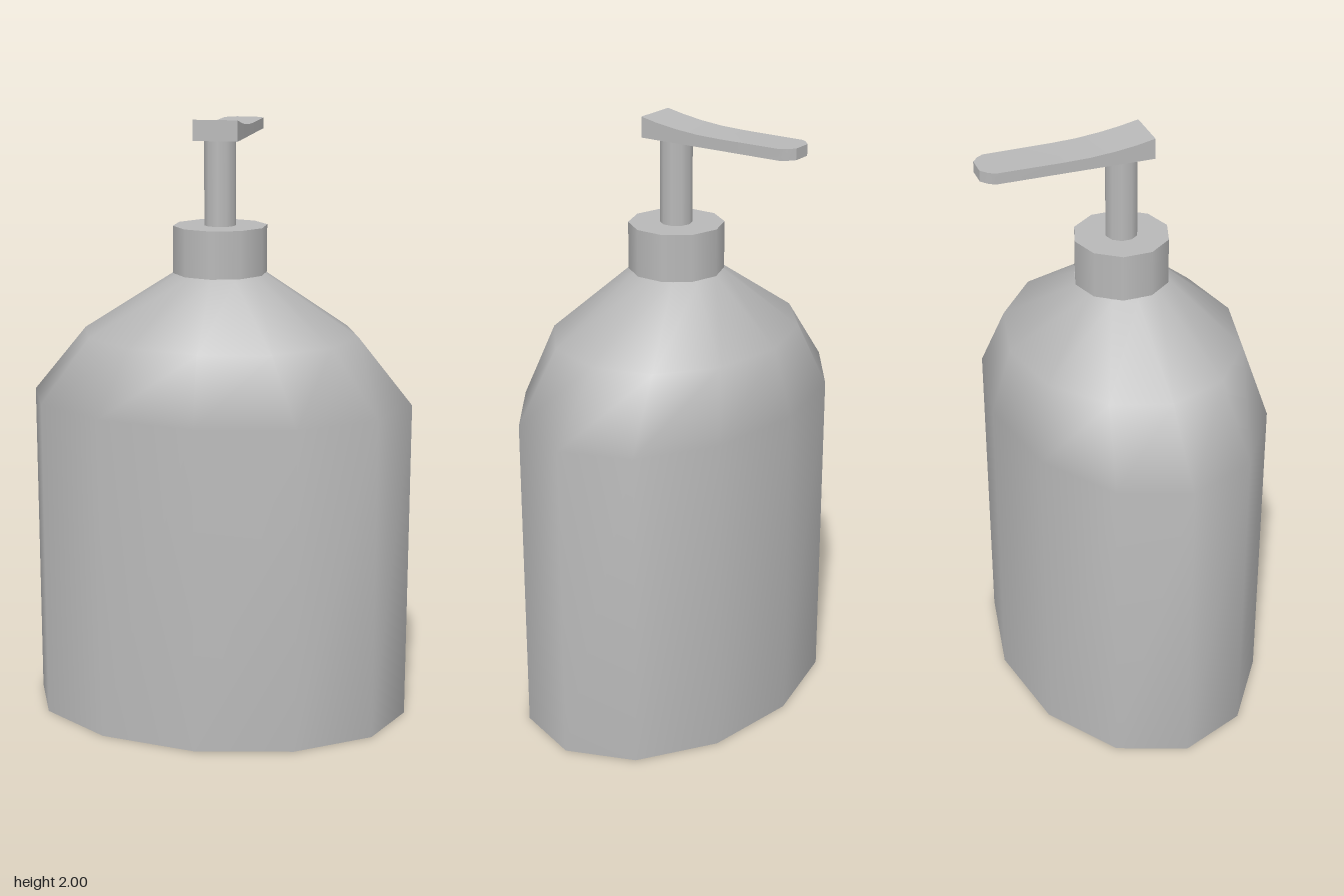
import * as THREE from 'three';
import { mergeVertices } from 'three/addons/utils/BufferGeometryUtils.js';

const CENTRE_Z = 0.007;

export function createModel() {
  const model = new THREE.Group();
  model.name = 'pumpBottle';
  const grey = new THREE.MeshStandardMaterial({ color: 0xb8b8b8 });
  grey.name = 'plain grey';

  const add = (name, geometry, y = 0, z = CENTRE_Z) => {
    const mesh = new THREE.Mesh(geometry, grey);
    mesh.name = name;
    mesh.position.set(0, y, z);
    model.add(mesh);
    return mesh;
  };

  // Bottle wall: oval rings from mouth to base, [y, half width, half depth]
  const rings = [
    [1.5, 0.15, 0.154],
    [1.3, 0.46, 0.38],
    [1.08, 0.64, 0.446],
    [0, 0.64, 0.446],
  ];
  let wall = new THREE.CylinderGeometry(1, 1, rings.length - 1, 12, rings.length - 1, true);
  const wp = wall.attributes.position;
  for (let i = 0; i < wp.count; i++) {
    const [y, rx, rz] = rings[Math.round((rings.length - 1) / 2 - wp.getY(i))];
    wp.setXYZ(i, wp.getX(i) * rx, y, wp.getZ(i) * rz);
  }
  // Join the seam so the wall shades smoothly all round
  wall.deleteAttribute('uv');
  wall.deleteAttribute('normal');
  wall = mergeVertices(wall);
  wall.computeVertexNormals();
  add('bottleWall', wall);

  // Flat ends of the bottle
  const base = new THREE.CircleGeometry(1, 12).rotateX(Math.PI / 2).scale(0.64, 1, 0.446);
  add('bottleBase', base);
  const mouth = new THREE.CircleGeometry(1, 12).rotateX(-Math.PI / 2).scale(0.15, 1, 0.154);
  add('bottleMouth', mouth, 1.5);

  // Collar and pump stem
  add('collar', new THREE.CylinderGeometry(0.155, 0.155, 0.155, 10), 1.5775);
  add('pumpStem', new THREE.CylinderGeometry(0.052, 0.052, 0.29, 10), 1.795);

  // Pump head: a bar with a dished top and rounded tip, [z, half width, top y]
  const stations = [
    [0.09, 0.073, 2.0],
    [0.03, 0.073, 1.988],
    [-0.04, 0.072, 1.978],
    [-0.12, 0.071, 1.971],
    [-0.2, 0.07, 1.969],
    [-0.415, 0.068, 1.969],
    [-0.435, 0.055, 1.969],
    [-0.454, 0.032, 1.969],
  ];
  const n = stations.length - 1;
  const head = new THREE.BoxGeometry(2, 1, n, 1, 1, n);
  const hp = head.attributes.position;
  for (let i = 0; i < hp.count; i++) {
    const [z, w, top] = stations[Math.round(n / 2 - hp.getZ(i))];
    hp.setXYZ(i, hp.getX(i) * w, hp.getY(i) > 0 ? top : 1.933, z);
  }
  head.computeVertexNormals();
  add('pumpHead', head, 0, 0);

  return model;
}
